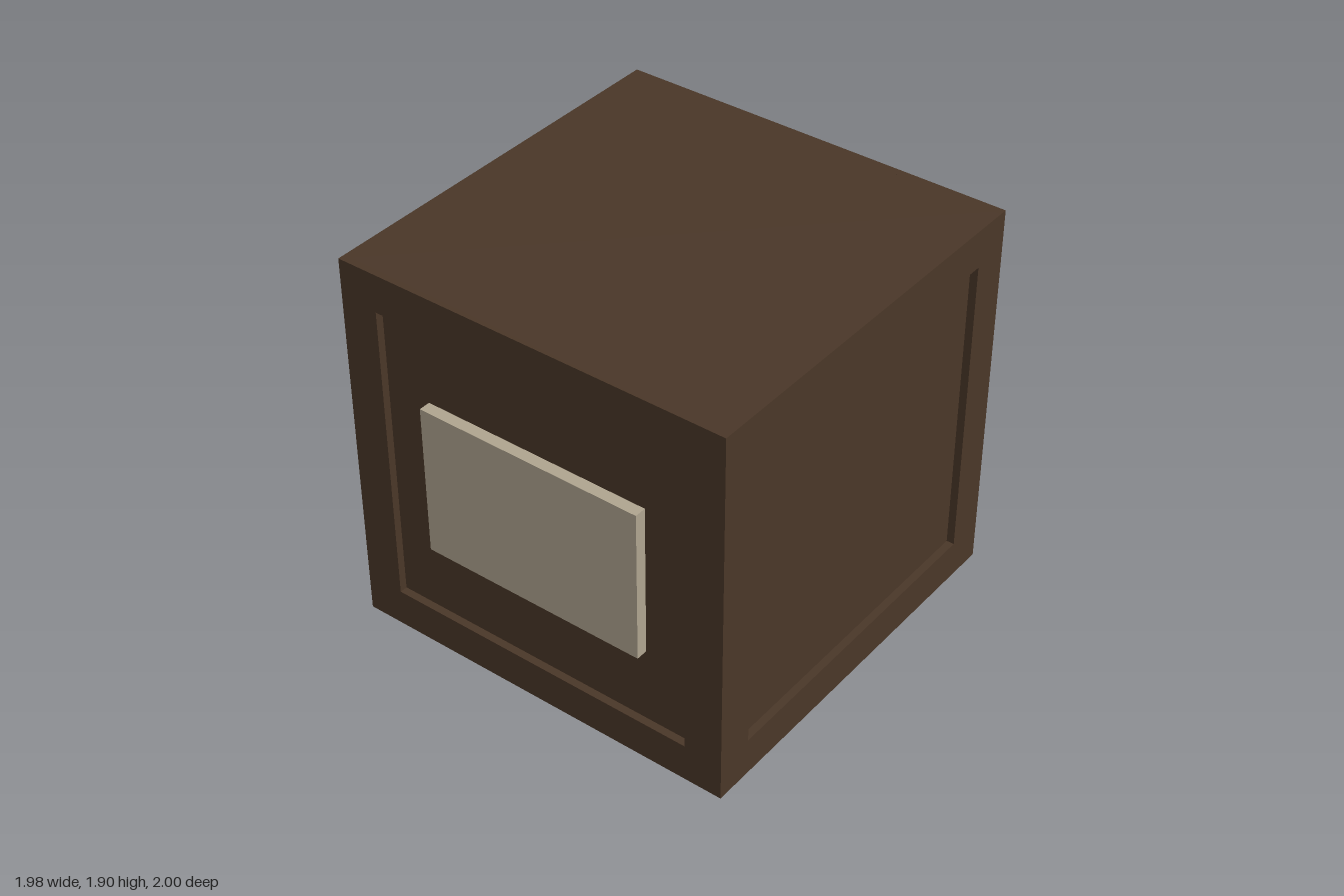
import * as THREE from 'three';

const SIZE = 1.981, HEIGHT = 1.905; // cabinet footprint and height
const BORDER = 0.19, RECESS = 0.038; // frame width and panel depth
const CENTER_Z = -0.0095;

// Flat frame standing on y = 0, extruded towards +z
function frameGeometry(width) {
  const w = width / 2, hole = SIZE / 2 - BORDER;
  const shape = new THREE.Shape([
    new THREE.Vector2(-w, 0), new THREE.Vector2(w, 0),
    new THREE.Vector2(w, HEIGHT), new THREE.Vector2(-w, HEIGHT),
  ]);
  shape.holes.push(new THREE.Path([
    new THREE.Vector2(-hole, BORDER), new THREE.Vector2(-hole, HEIGHT - BORDER),
    new THREE.Vector2(hole, HEIGHT - BORDER), new THREE.Vector2(hole, BORDER),
  ]));
  return new THREE.ExtrudeGeometry(shape, { depth: RECESS, bevelEnabled: false });
}

export function createModel() {
  const model = new THREE.Group();
  model.name = 'panelledBox';
  const wood = new THREE.MeshStandardMaterial({ color: 0x4a3728 });
  wood.name = 'dark wood';
  const pale = new THREE.MeshStandardMaterial({ color: 0xb0a590 });
  pale.name = 'pale plate';

  // Core whose sides form the recessed panels
  const inner = SIZE - 2 * RECESS;
  const core = new THREE.Mesh(new THREE.BoxGeometry(inner, HEIGHT, inner), wood);
  core.name = 'recessedPanels';
  core.position.set(0, HEIGHT / 2, CENTER_Z);
  model.add(core);

  // Raised frames; the side frames fit between the front and back ones
  ['frontFrame', 'leftFrame', 'backFrame', 'rightFrame'].forEach((name, i) => {
    const frame = new THREE.Mesh(frameGeometry(i % 2 ? inner : SIZE), wood);
    const angle = i * Math.PI / 2;
    frame.name = name;
    frame.rotation.y = angle;
    frame.position.set(Math.sin(angle) * inner / 2, 0, CENTER_Z + Math.cos(angle) * inner / 2);
    model.add(frame);
  });

  // Plate on the front panel, standing slightly proud of the frame
  const depth = 0.057;
  const plate = new THREE.Mesh(new THREE.BoxGeometry(1.143, 0.762, depth), pale);
  plate.name = 'frontPlate';
  plate.position.set(0, HEIGHT / 2, 1 - depth / 2);
  model.add(plate);

  return model;
}
